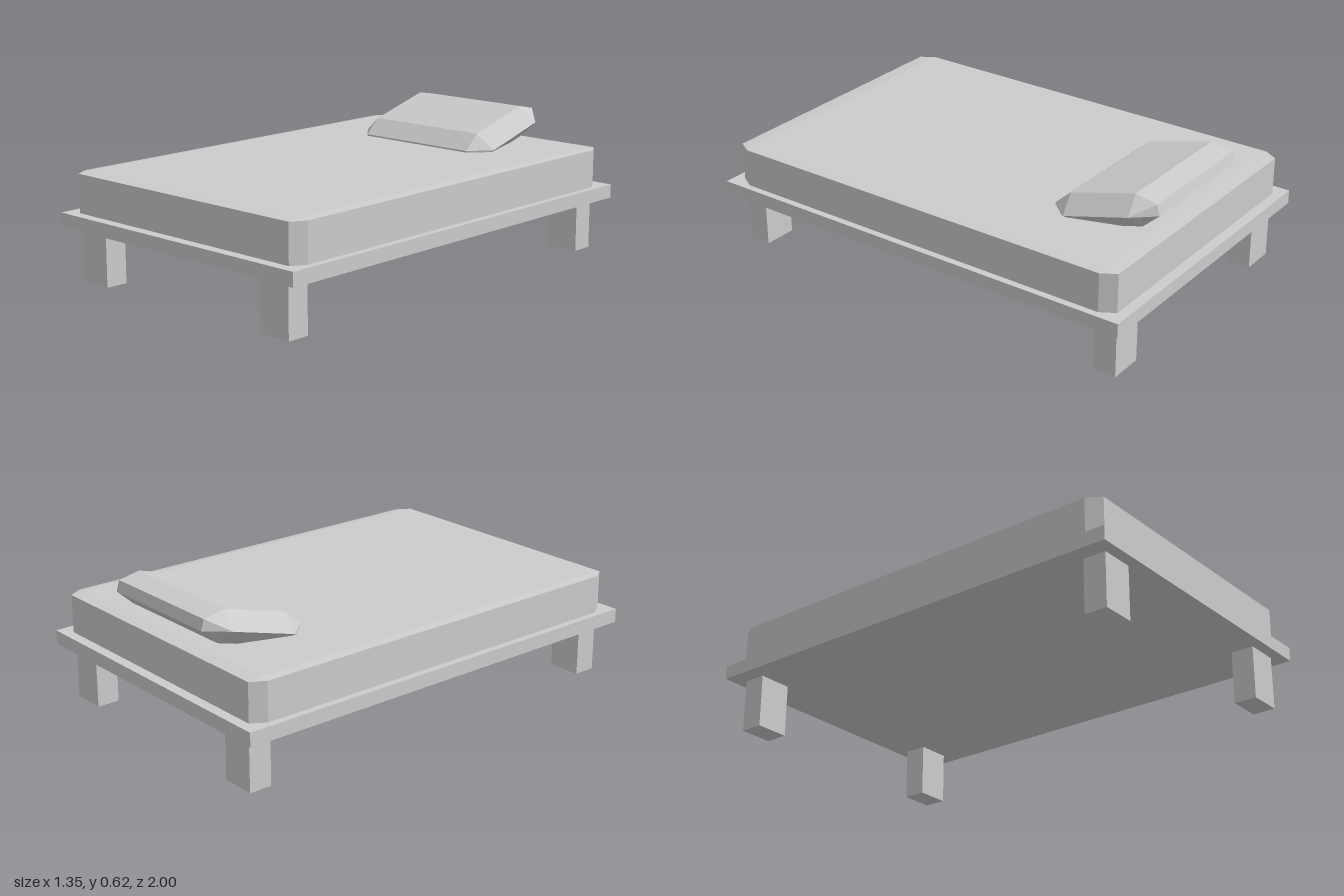
import * as THREE from 'three';
import { ConvexGeometry } from 'three/addons/geometries/ConvexGeometry.js';

const material = new THREE.MeshStandardMaterial({ color: 0xcccccc, flatShading: true });

function addMesh(parent, name, geometry, x, y, z) {
  const mesh = new THREE.Mesh(geometry, material);
  mesh.name = name;
  mesh.position.set(x, y, z);
  parent.add(mesh);
  return mesh;
}

// Box with cut corners and sloped rims; all sizes are half extents.
// face: flat top/bottom rectangle, outer: widest outline,
// endY / sideY: half heights of the end bands and side bands.
function chamferedBox(face, outer, height, endY, sideY) {
  const points = [];
  for (const sx of [-1, 1]) for (const sy of [-1, 1]) for (const sz of [-1, 1]) {
    points.push(
      new THREE.Vector3(sx * face.x, sy * height, sz * face.z),
      new THREE.Vector3(sx * face.x, sy * endY, sz * outer.z),
    );
    // A zero side band collapses to a single edge
    if (sideY > 0 || sy > 0) points.push(new THREE.Vector3(sx * outer.x, sy * sideY, sz * face.z));
  }
  return new ConvexGeometry(points);
}

export function createModel() {
  const bed = new THREE.Group();
  bed.name = 'bed';

  // Base board
  addMesh(bed, 'baseBoard', new THREE.BoxGeometry(1.35, 0.06, 2), 0, 0.26, 0);

  // Four legs
  const legGeometry = new THREE.BoxGeometry(0.15, 0.23, 0.1);
  for (const [sideName, sx] of [['Left', 1], ['Right', -1]])
    for (const [endName, sz] of [['front', 1], ['back', -1]])
      addMesh(bed, `${endName}${sideName}Leg`, legGeometry, sx * 0.525, 0.115, sz * 0.9);

  // Mattress with cut corners and a very shallow top rim, set into the board
  addMesh(bed, 'mattress',
    chamferedBox({ x: 0.608, z: 0.893 }, { x: 0.645, z: 0.955 }, 0.106, 0.101, 0.101),
    0, 0.355, 0);

  // Faceted pillow, tilted up at the head end with its front edge sunk in the mattress
  const pillow = addMesh(bed, 'pillow',
    chamferedBox({ x: 0.29, z: 0.154 }, { x: 0.37, z: 0.243 }, 0.068, 0.024, 0),
    0, 0.511, -0.692);
  pillow.rotation.x = 0.275;

  return bed;
}
